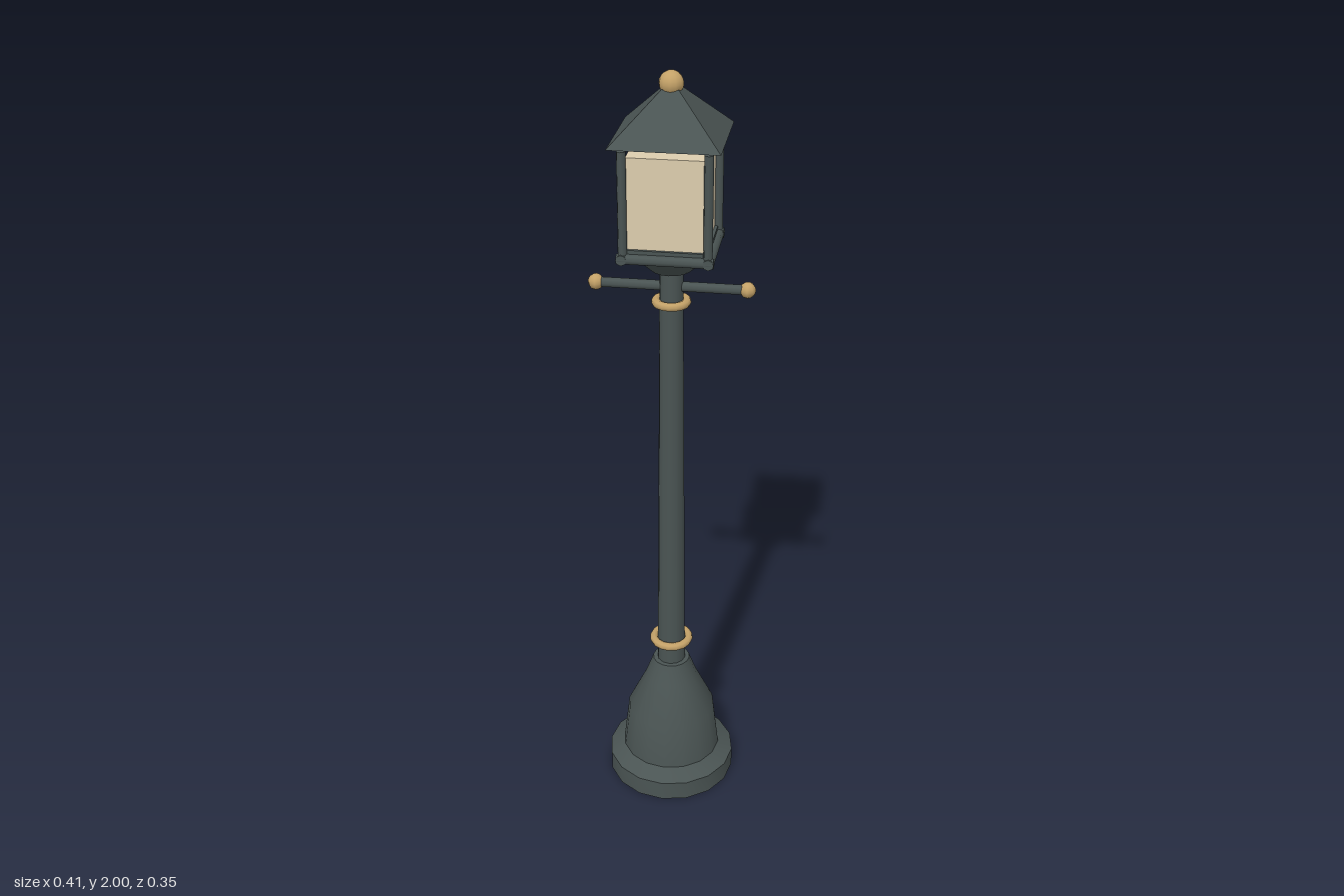
import * as THREE from 'three';
import { toCreasedNormals } from 'three/addons/utils/BufferGeometryUtils.js';

const iron = new THREE.MeshStandardMaterial({ color: 0x4a5453 });
const brass = new THREE.MeshStandardMaterial({ color: 0xc4a268 });
const glass = new THREE.MeshStandardMaterial({ color: 0xdccdae });

export function createModel() {
  const model = new THREE.Group();
  model.name = 'streetLamp';

  const add = (parent, name, geometry, material, x = 0, y = 0, z = 0) => {
    const mesh = new THREE.Mesh(geometry, material);
    mesh.name = name;
    mesh.position.set(x, y, z);
    parent.add(mesh);
    return mesh;
  };
  const lathe = (profile, sides) => toCreasedNormals(
    new THREE.LatheGeometry(profile.map(([r, y]) => new THREE.Vector2(r, y)), sides), 0.6);

  // Flared foot on a round plinth
  add(model, 'base', lathe([
    [0, 0], [0.175, 0], [0.175, 0.055], [0.135, 0.08], [0.12, 0.21],
    [0.07, 0.315], [0.05, 0.37], [0, 0.37],
  ], 16), iron);

  // Tapered post
  add(model, 'post', new THREE.CylinderGeometry(0.029, 0.038, 1.18, 12), iron, 0, 0.95, 0);

  // Brass collars
  for (const [name, y, r] of [['lowerCollar', 0.435, 0.048], ['upperCollar', 1.44, 0.038]]) {
    add(model, name, new THREE.TorusGeometry(r, 0.011, 8, 16), brass, 0, y, 0).rotation.x = Math.PI / 2;
  }

  // Ladder bar with ball ends
  add(model, 'crossbar', new THREE.CylinderGeometry(0.013, 0.013, 0.37, 8), iron, 0, 1.48, 0).rotation.z = Math.PI / 2;
  for (const s of [-1, 1]) {
    add(model, 'crossbarBall', new THREE.SphereGeometry(0.02, 8, 8), brass, s * 0.185, 1.48, 0);
  }

  // Lantern: cup, floor, glass, frame, roof and finial
  const lantern = new THREE.Group();
  lantern.name = 'lantern';
  model.add(lantern);
  add(lantern, 'cup', new THREE.CylinderGeometry(0.1, 0.05, 0.045, 16), iron, 0, 1.5475, 0);
  add(lantern, 'floor', new THREE.BoxGeometry(0.2, 0.035, 0.2), iron, 0, 1.587, 0);
  add(lantern, 'glass', new THREE.BoxGeometry(0.185, 0.22, 0.185), glass, 0, 1.713, 0);

  for (let i = 0; i < 4; i++) {
    const side = new THREE.Group();
    side.name = 'frameSide';
    side.rotation.y = i * Math.PI / 2;
    lantern.add(side);
    add(side, 'cornerPost', new THREE.CylinderGeometry(0.011, 0.011, 0.26, 8), iron, 0.1, 1.71, 0.1);
    add(side, 'bottomRail', new THREE.CylinderGeometry(0.013, 0.013, 0.228, 8), iron, 0, 1.583, 0.102)
      .rotation.z = Math.PI / 2;
  }

  const roof = new THREE.CylinderGeometry(0.02 * Math.SQRT2, 0.13 * Math.SQRT2, 0.11, 4).toNonIndexed();
  roof.computeVertexNormals();
  roof.rotateY(Math.PI / 4);
  add(lantern, 'roof', roof, iron, 0, 1.905, 0);
  add(lantern, 'finial', new THREE.SphereGeometry(0.029, 12, 10), brass, 0, 1.971, 0);

  return model;
}
